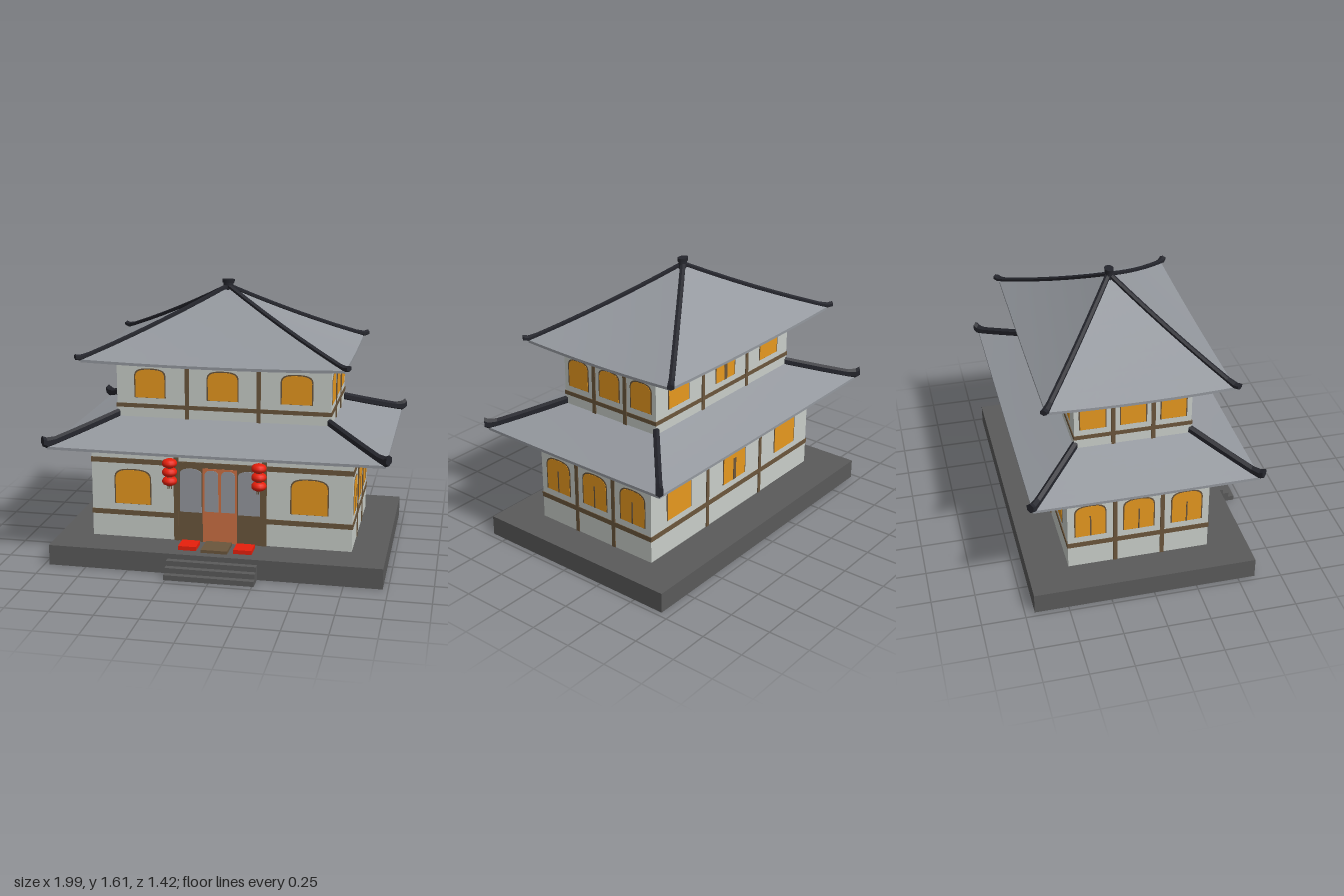
import * as THREE from 'three';
import { mergeGeometries } from 'three/addons/utils/BufferGeometryUtils.js';

const mat = (name, color, side = THREE.FrontSide) => {
  const m = new THREE.MeshStandardMaterial({ color, side });
  m.name = name;
  return m;
};

const CZ = -0.045; // building centre in z
const CORNERS = [[-1, 1], [1, 1], [1, -1], [-1, -1]];

export function createModel() {
  const M = {
    stone: mat('stone', 0x5a5a5a, THREE.DoubleSide),
    plaster: mat('plaster', 0xc9cec9),
    wood: mat('wood', 0x6b563c),
    glow: mat('window glow', 0xe6981f),
    tile: mat('roof tile', 0x94989e),
    ridge: mat('ridge tile', 0x25262d),
    red: mat('red', 0xea200c),
    door: mat('door wood', 0xcc7043),
    pane: mat('door pane', 0x95989e),
  };
  const model = new THREE.Group();
  model.name = 'twoStoreyPavilion';

  const add = (parent, name, geo, material, x = 0, y = 0, z = 0) => {
    const mesh = new THREE.Mesh(geo, material);
    mesh.name = name;
    mesh.position.set(x, y, z);
    parent.add(mesh);
    return mesh;
  };
  // box given by its limits
  const box = (parent, name, material, x0, x1, y0, y1, z0, z1) =>
    add(parent, name, new THREE.BoxGeometry(x1 - x0, y1 - y0, z1 - z0), material,
      (x0 + x1) / 2, (y0 + y1) / 2, (z0 + z1) / 2);
  const group = (name, parent = model) => {
    const g = new THREE.Group();
    g.name = name;
    parent.add(g);
    return g;
  };

  // surface from a function of (u, v)
  const grid = (fn, nu, nv) => {
    const pos = [], idx = [];
    for (let j = 0; j <= nv; j++) for (let i = 0; i <= nu; i++) pos.push(...fn(i / nu, j / nv));
    for (let j = 0; j < nv; j++) for (let i = 0; i < nu; i++) {
      const a = j * (nu + 1) + i, b = a + 1, c = a + nu + 1, d = c + 1;
      idx.push(a, b, c, b, d, c);
    }
    const g = new THREE.BufferGeometry();
    g.setAttribute('position', new THREE.Float32BufferAttribute(pos, 3));
    g.setIndex(idx);
    g.computeVertexNormals();
    return g;
  };
  const faceted = geo => {
    const g = geo.toNonIndexed();
    g.computeVertexNormals();
    return g;
  };

  // hollow stone platform, open below
  const platform = box(model, 'platform', M.stone, -0.97, 0.97, 0, 0.12, -0.695, 0.6);
  const faces = Array.from(platform.geometry.index.array);
  faces.splice(18, 6); // bottom face
  platform.geometry.setIndex(faces);
  platform.geometry.clearGroups();

  // steps: treads and risers with closed ends, open below
  const stair = [[0.705, 0], [0.705, 0.03], [0.67, 0.03], [0.67, 0.06], [0.635, 0.06], [0.635, 0.09], [0.6, 0.09]];
  const steps = group('steps');
  add(steps, 'treadsAndRisers', faceted(grid((u, v) => {
    const [z, y] = stair[Math.round(v * (stair.length - 1))];
    return [(u - 0.5) * 0.52, y, z];
  }, 1, stair.length - 1)), M.stone);
  const stairEnd = new THREE.ShapeGeometry(
    new THREE.Shape([...stair, [0.6, 0]].map(p => new THREE.Vector2(-p[0], p[1]))));
  for (const s of [-1, 1])
    add(steps, 'stepEnd', stairEnd, M.stone, s * 0.26, 0, 0).rotation.y = Math.PI / 2;

  // plate with a flat top and rounded shoulders; k is where the rounding starts
  const arch = (w, h, depth, k) => {
    const s = new THREE.Shape(), a = w / 2;
    s.moveTo(-a, 0);
    s.lineTo(a, 0);
    s.lineTo(a, k * h);
    s.bezierCurveTo(a * 0.97, h * 0.95, a * 0.65, h, 0, h);
    s.bezierCurveTo(-a * 0.65, h, -a * 0.97, h * 0.95, -a, k * h);
    return new THREE.ExtrudeGeometry(s, { depth, bevelEnabled: false, curveSegments: 6 });
  };
  const addWindow = (parent, x, y, w, h, mullion) => {
    const win = group('window', parent);
    win.position.set(x, y, 0);
    add(win, 'windowFrame', arch(w, h, 0.002, 0.76), M.wood);
    add(win, 'windowGlow', arch(w - 0.014, h - 0.008, 0.003, 0.76), M.glow, 0, 0.001, 0);
    if (mullion) box(win, 'mullion', M.wood, -mullion, mullion, 0, h * 0.65, 0, 0.005);
  };

  // one storey: plaster walls with beams, posts and windows on four sides
  const storey = (name, s) => {
    const g = group(name);
    g.position.z = CZ;
    box(g, 'walls', M.plaster, -s.half[0], s.half[0], s.y[0], s.y[1], -s.half[1], s.half[1]);
    for (let k = 0; k < 4; k++) {
      const odd = k % 2, face = group(['front', 'left', 'back', 'right'][k] + 'Face', g);
      face.rotation.y = k * Math.PI / 2;
      const inner = group('facade', face);
      inner.position.z = s.half[1 - odd];
      const w = s.half[odd] + 0.003;
      for (const y of s.beams)
        box(inner, 'beam', M.wood, -w, w, y - s.beamH / 2, y + s.beamH / 2, -0.01, 0.004);
      for (const side of [-1, 1])
        box(inner, 'post', M.wood, side * s.posts[odd] - 0.012, side * s.posts[odd] + 0.012,
          s.y[0], s.y[1], -0.01, 0.005);
      for (const i of [-1, 0, 1]) {
        if (s.door && k === 0 && i === 0) continue;
        const mullion = k === 2 && i === 0 ? 0.013 : s.door && odd ? 0.004 : 0;
        addWindow(inner, i * s.bays[odd], s.sill, s.winW[odd], s.winH, mullion);
      }
    }
  };
  storey('groundStorey', {
    half: [0.77, 0.413], y: [0.12, 0.74], beams: [0.588, 0.27], beamH: 0.03, posts: [0.26, 0.138],
    bays: [0.522, 0.281], sill: 0.325, winW: [0.222, 0.186], winH: 0.215, door: true,
  });
  storey('upperStorey', {
    half: [0.628, 0.335], y: [0.78, 1.21], beams: [1.168, 0.905], beamH: 0.024, posts: [0.21, 0.114],
    bays: [0.43, 0.23], sill: 0.953, winW: [0.187, 0.155], winH: 0.175,
  });

  // entrance with side panels and a double door
  const entrance = group('entrance');
  entrance.position.z = 0.368;
  box(entrance, 'doorSurround', M.wood, -0.27, 0.27, 0.12, 0.6, -0.01, 0.006);
  box(entrance, 'doubleDoor', M.door, -0.102, 0.102, 0.12, 0.57, 0, 0.009);
  for (const s of [-1, 1]) {
    box(entrance, 'entrancePost', M.wood, s * 0.26 - 0.014, s * 0.26 + 0.014, 0.12, 0.72, 0, 0.01);
    add(entrance, 'sidePane', arch(0.128, 0.265, 0.004, 0.9), M.pane, s * 0.172, 0.3, 0.006);
    add(entrance, 'doorPane', arch(0.08, 0.25, 0.003, 0.9), M.pane, s * 0.049, 0.31, 0.009);
  }

  // hipped roof: slopes, eave rim, soffit and corner ridges
  const roof = (name, r) => {
    const g = group(name);
    g.position.set(r.x, 0, r.z);
    const mix = THREE.MathUtils.lerp;
    const height = v => mix(r.y[0], r.y[1], v - r.sag * v * (1 - v));
    const slope = (k, drop) => (u, v) => {
      const A = CORNERS[k], B = CORNERS[(k + 1) % 4];
      const [x, z] = [0, 1].map(i => mix(A[i], B[i], u) * mix(r.outer[i], r.inner[i], v));
      return [x, height(v) + r.lift * (2 * u - 1) ** 2 * (1 - v) ** 2 - drop, z];
    };
    const parts = [];
    for (let k = 0; k < 4; k++) {
      const top = slope(k, 0), under = slope(k, 0.016);
      parts.push(grid(top, 12, 8), grid((u, v) => under(1 - u, v), 12, 8),
        grid((u, v) => (v ? top : under)(u, 0), 12, 1));
    }
    add(g, 'roofSlopes', mergeGeometries(parts), M.tile);

    for (const [sx, sz] of CORNERS) {
      const d = new THREE.Vector2(sx * (r.inner[0] - r.outer[0]), sz * (r.inner[1] - r.outer[1]));
      const len = d.length();
      d.normalize();
      // stations along the hip: distance from the corner, raise, section scale
      const st = [[-r.tip, r.curl, 0], [-r.tip, r.curl, 1.2], [0, r.curl * 0.4, 1.2], [0.05, 0, 1]];
      for (let i = 1; i <= 6; i++) st.push([mix(0.05, len, i / 6), 0, 1]);
      st.push([len, 0, 0]);
      add(g, 'cornerRidge', faceted(grid((u, v) => {
        const [t, up, scale] = st[Math.round(v * (st.length - 1))];
        const f = Math.max(t / len, 0), a = u * Math.PI * 2 + Math.PI / 6;
        const side = Math.cos(a) * r.ridge[0] * scale, rise = Math.sin(a) * r.ridge[1] * scale;
        return [sx * r.outer[0] + d.x * t + d.y * side,
          height(f) + r.lift * (1 - f) ** 2 + up + r.ridge[1] * 0.6 + rise,
          sz * r.outer[1] + d.y * t - d.x * side];
      }, 6, st.length - 1)), M.ridge);
    }
    return g;
  };
  roof('lowerRoof', {
    x: 0, z: CZ, outer: [0.964, 0.635], inner: [0.62, 0.33], y: [0.709, 0.84],
    sag: 0.04, lift: 0.004, tip: 0.024, curl: 0.02, ridge: [0.02, 0.026],
  });
  const upper = roof('upperRoof', {
    x: -0.032, z: -0.04, outer: [0.752, 0.52], inner: [0.005, 0.005], y: [1.193, 1.563],
    sag: 0.12, lift: 0.013, tip: 0.03, curl: 0.008, ridge: [0.018, 0.014],
  });
  const finial = group('finial', upper);
  finial.scale.z = 0.7;
  add(finial, 'finialNeck', new THREE.CylinderGeometry(0.03, 0.032, 0.05, 12), M.ridge, 0, 1.567, 0);
  add(finial, 'finialCap', new THREE.CylinderGeometry(0.038, 0.036, 0.02, 12), M.ridge, 0, 1.6, 0);

  // hanging lantern strings
  const lanternProfile = [[0, -0.025], [0.022, -0.024], [0.036, -0.017], [0.043, -0.005],
    [0.043, 0.005], [0.036, 0.017], [0.022, 0.024], [0, 0.025]].map(p => new THREE.Vector2(...p));
  for (const s of [-1, 1]) {
    const lantern = group('lanternString');
    lantern.position.set(s * 0.257, 0, 0.535);
    for (let i = 0; i < 3; i++) {
      const y = 0.64 - i * 0.052;
      add(lantern, 'lantern', new THREE.LatheGeometry(lanternProfile, 16), M.red, 0, y, 0);
      add(lantern, 'lanternCap', new THREE.CylinderGeometry(0.018, 0.018, 0.004, 10), M.wood, 0, y - 0.026, 0);
    }
    for (const x of [-0.01, 0, 0.01])
      add(lantern, 'tassel', new THREE.CylinderGeometry(0.003, 0.003, 0.025, 5), M.wood, x, 0.5, 0);
  }

  // low table between two floor cushions
  box(model, 'lowTable', M.wood, -0.077, 0.077, 0.12, 0.138, 0.4, 0.55);
  for (const s of [-1, 1])
    box(model, 'cushion', M.red, s * 0.162 - 0.053, s * 0.162 + 0.053, 0.12, 0.144, 0.42, 0.53);

  return model;
}
